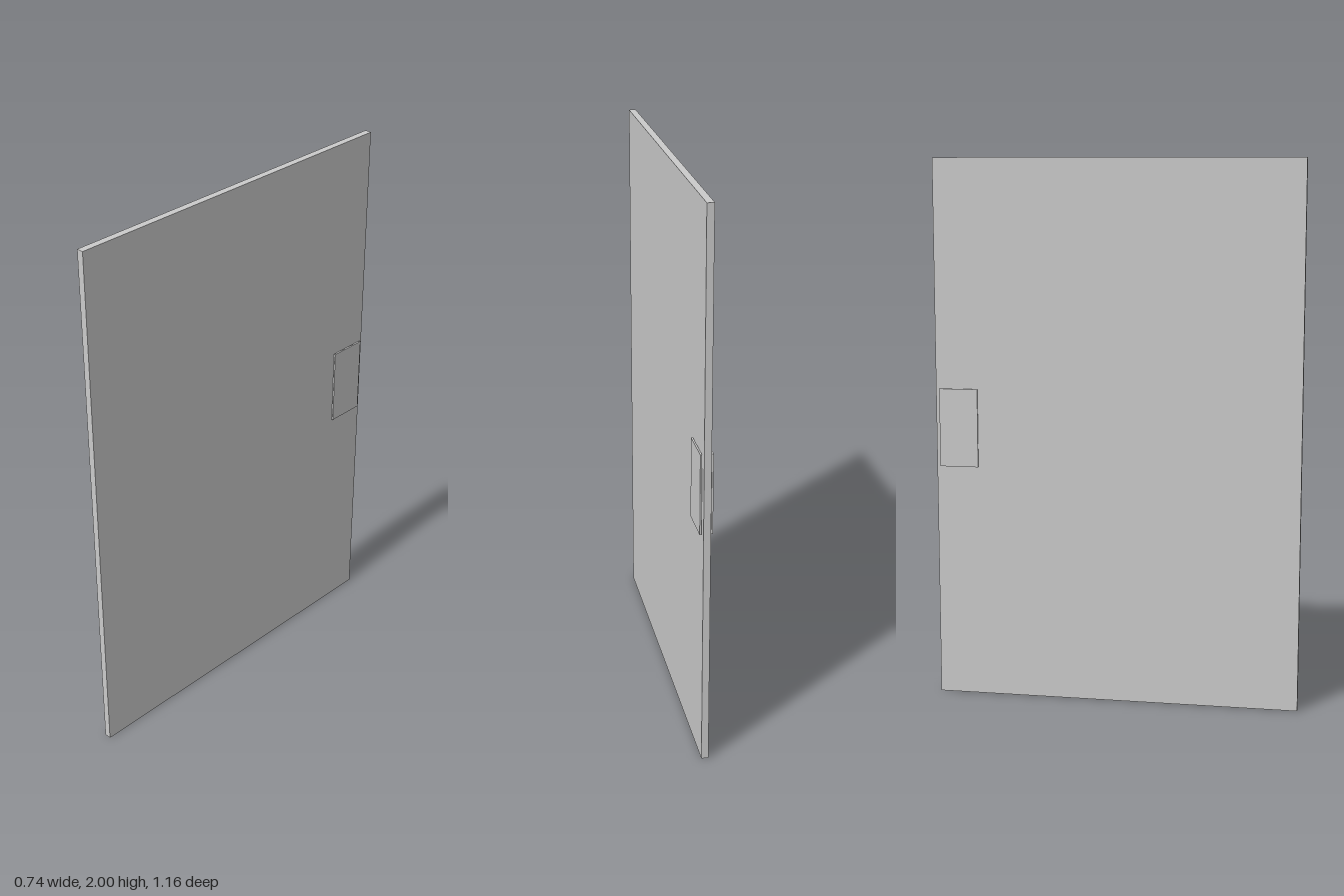
import * as THREE from 'three';

export function createModel() {
  const model = new THREE.Group();
  const material = new THREE.MeshStandardMaterial({ color: 0xcccccc });

  // The whole door is swung open about the vertical axis
  const door = new THREE.Group();
  door.name = 'door';
  door.rotation.y = 1.0106;
  model.add(door);

  function addBox(name, size, position) {
    const mesh = new THREE.Mesh(new THREE.BoxGeometry(...size), material);
    mesh.name = name;
    mesh.position.set(...position);
    door.add(mesh);
  }

  // Door leaf
  addBox('doorPanel', [1.349, 2, 0.025], [0, 1, 0]);

  // Thin push plates standing just off each face, near the free edge
  for (const side of [1, -1]) {
    addBox(side > 0 ? 'frontPushPlate' : 'backPushPlate',
      [0.144, 0.29, 0.006], [0.588, 1.015, side * 0.0195]);
  }

  return model;
}
